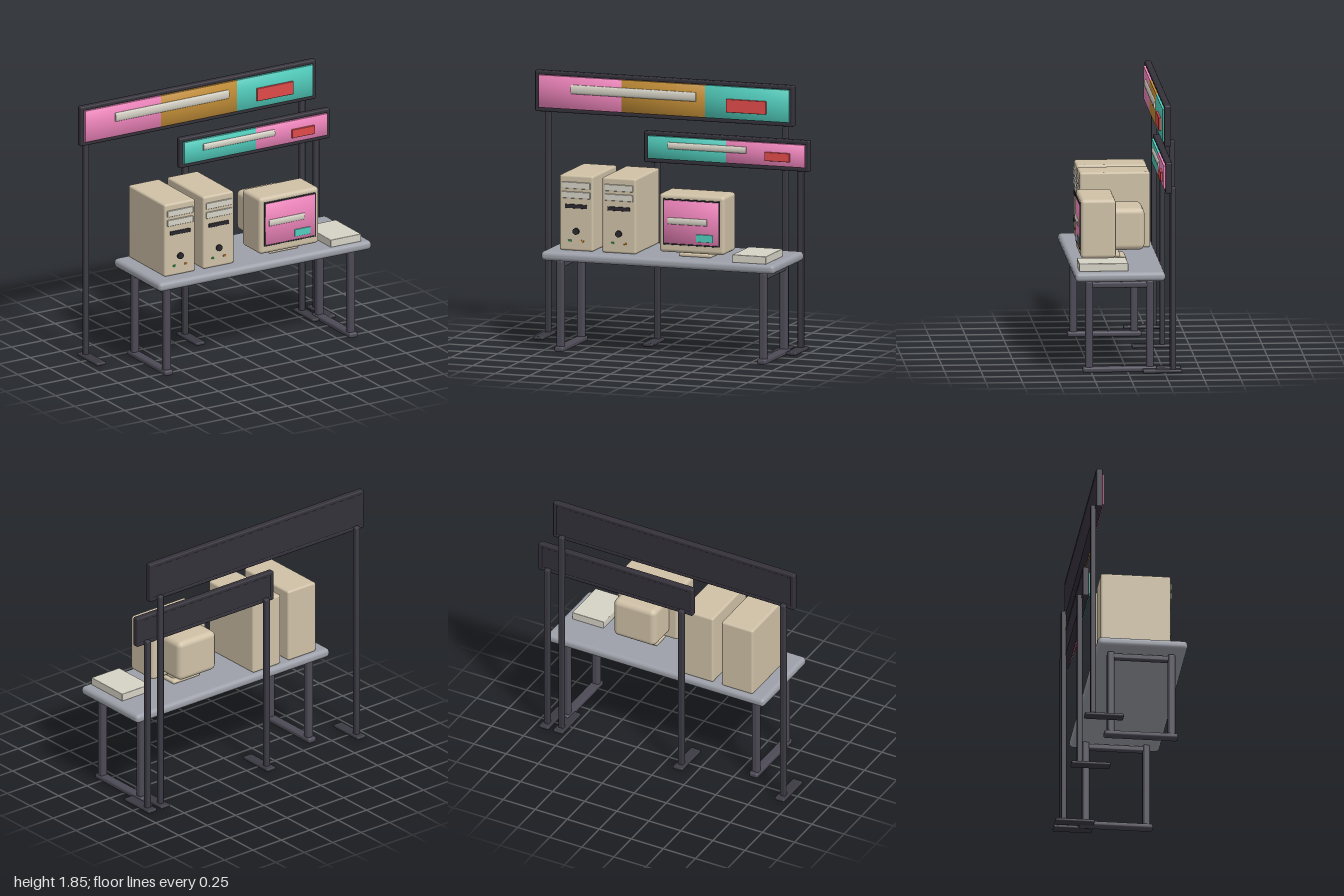
import * as THREE from 'three';
import { RoundedBoxGeometry } from 'three/addons/geometries/RoundedBoxGeometry.js';

const COLORS = {
  frame: 0x34313a, post: 0x3c3a43, leg: 0x4c4955, table: 0x9da0a9, beige: 0xcfc1a7,
  light: 0xd6d2c6, pink: 0xf086bd, amber: 0xc48f38, teal: 0x52cdbd, red: 0xe04a4a,
  dark: 0x2a282e, green: 0x3fae5a, orange: 0xd98a30,
};
const mats = {};
for (const k in COLORS) mats[k] = new THREE.MeshStandardMaterial({ color: COLORS[k] });

function add(parent, name, geo, mat, x = 0, y = 0, z = 0) {
  const m = new THREE.Mesh(geo, mats[mat]);
  m.name = name;
  m.position.set(x, y, z);
  parent.add(m);
  return m;
}

// Rounded box given by its extents on each axis
function block(parent, name, mat, [x0, x1], [y0, y1], [z0, z1], r = 0.01) {
  const w = x1 - x0, h = y1 - y0, d = z1 - z0;
  const radius = Math.min(r, 0.45 * Math.min(w, h, d));
  return add(parent, name, new RoundedBoxGeometry(w, h, d, 3, radius), mat,
    (x0 + x1) / 2, (y0 + y1) / 2, (z0 + z1) / 2);
}

// Thin panel whose front normals lean outward so it shades as gently domed
function panel(parent, name, mat, [x0, x1], [y0, y1], [z0, z1]) {
  const w = x1 - x0, h = y1 - y0;
  const geo = new THREE.BoxGeometry(w, h, z1 - z0, 8, 8, 1);
  const p = geo.attributes.position, n = geo.attributes.normal;
  const v = new THREE.Vector3();
  for (let i = 0; i < p.count; i++) {
    if (n.getZ(i) < 0.5) continue;
    v.set(p.getX(i) / w * 0.6, p.getY(i) / h * 0.9, 1).normalize();
    n.setXYZ(i, v.x, v.y, v.z);
  }
  return add(parent, name, geo, mat, (x0 + x1) / 2, (y0 + y1) / 2, (z0 + z1) / 2);
}

// Flattened horizontal rod
function rod(parent, name, [x0, x1], [y0, y1], z, depth) {
  const r = (y1 - y0) / 2;
  const geo = new THREE.CylinderGeometry(r, r, x1 - x0, 20);
  geo.rotateZ(Math.PI / 2);
  geo.scale(1, 1, depth / r);
  return add(parent, name, geo, 'light', (x0 + x1) / 2, (y0 + y1) / 2, z);
}

function group(parent, name) {
  const g = new THREE.Group();
  g.name = name;
  parent.add(g);
  return g;
}

// Framed sign board with coloured panels, a rod, a red plate and two posts
function sign(root, name, s) {
  const g = group(root, name);
  const [x0, x1] = s.x, [y0, y1] = s.y, t = 0.03;
  block(g, 'backBoard', 'frame', [x0 + 0.005, x1 - 0.005], [y0 + 0.005, y1 - 0.005], [-0.293, -0.256], 0.005);
  block(g, 'frameTop', 'frame', s.x, [y1 - t, y1], [-0.296, -0.25]);
  block(g, 'frameBottom', 'frame', s.x, [y0, y0 + t], [-0.296, -0.25]);
  block(g, 'frameRight', 'frame', [x0, x0 + t], s.y, [-0.296, -0.25]);
  block(g, 'frameLeft', 'frame', [x1 - t, x1], s.y, [-0.296, -0.25]);
  s.panels.forEach((mat, i) => panel(g, 'panel', mat,
    [s.seams[i], s.seams[i + 1]], [y0 + t, y1 - t], [-0.26, -0.239]));
  rod(g, 'rod', s.rodX, s.rodY, -0.239, 0.012);
  block(g, 'plate', 'red', s.plateX, s.plateY, [-0.245, -0.224], 0.004);
  for (const px of s.posts) {
    block(g, 'post', 'post', [px - 0.02, px + 0.02], [0.02, y0 + 0.035], [-0.327, -0.29], 0.008);
    block(g, 'postFoot', 'post', [px - 0.038, px + 0.038], [0.006, 0.03], [-0.368, -0.098], 0.01);
  }
}

// Computer tower with drives, slot, button and lights on the front
function tower(root, cx) {
  const g = group(root, 'computerTower');
  const f = 0.262;
  block(g, 'case', 'beige', [cx - 0.123, cx + 0.123], [0.708, 1.233], [-0.222, f], 0.015);
  for (const y of [1.163, 1.096])
    block(g, 'drive', 'light', [cx - 0.103, cx + 0.103], [y - 0.023, y + 0.023], [f - 0.01, f + 0.009], 0.005);
  block(g, 'slot', 'dark', [cx - 0.08, cx + 0.08], [1.004, 1.032], [f - 0.01, f + 0.006], 0.003);
  const disc = (name, mat, r, x, y, d) => {
    add(g, name, new THREE.CylinderGeometry(r, r, d, 20), mat, x, y, f + d / 2 - 0.004).rotation.x = Math.PI / 2;
  };
  disc('powerButton', 'dark', 0.023, cx, 0.845, 0.018);
  block(g, 'greenLight', 'green', [cx - 0.057, cx - 0.035], [0.772, 0.785], [f - 0.01, f + 0.007], 0.003);
  block(g, 'orangeLight', 'orange', [cx + 0.035, cx + 0.057], [0.772, 0.785], [f - 0.01, f + 0.007], 0.003);
}

function monitor(root) {
  const g = group(root, 'monitor');
  block(g, 'frontHousing', 'beige', [0.102, 0.578], [0.745, 1.153], [0.06, 0.302], 0.025);
  block(g, 'rearHousing', 'beige', [0.172, 0.502], [0.785, 1.078], [-0.143, 0.1], 0.04);
  panel(g, 'screen', 'pink', [0.143, 0.54], [0.81, 1.11], [0.29, 0.308]);
  // Thin surround around the screen
  for (const y of [0.805, 1.115]) block(g, 'screenSurround', 'dark', [0.136, 0.547], [y - 0.005, y + 0.005], [0.295, 0.307], 0.003);
  for (const x of [0.139, 0.544]) block(g, 'screenSurround', 'dark', [x - 0.005, x + 0.005], [0.8, 1.12], [0.295, 0.307], 0.003);
  rod(g, 'screenBar', [0.17, 0.455], [0.943, 0.99], 0.308, 0.009);
  block(g, 'screenLabel', 'teal', [0.375, 0.5], [0.83, 0.883], [0.3, 0.314], 0.004);
  block(g, 'standNeck', 'beige', [0.25, 0.43], [0.725, 0.755], [0.02, 0.2], 0.01);
  block(g, 'standBase', 'beige', [0.222, 0.456], [0.708, 0.734], [-0.02, 0.23], 0.011);
}

export function createModel() {
  const root = new THREE.Group();
  root.name = 'computerStall';

  // Table: top and two side frames
  const table = group(root, 'table');
  block(table, 'tableTop', 'table', [-0.737, 0.963], [0.645, 0.71], [-0.253, 0.367], 0.028);
  for (const x of [-0.625, 0.85]) {
    const side = group(table, 'legFrame');
    for (const z of [0.266, -0.152])
      block(side, 'leg', 'leg', [x - 0.027, x + 0.027], [0.02, 0.643], [z - 0.026, z + 0.026], 0.016);
    block(side, 'topRail', 'leg', [x - 0.022, x + 0.022], [0.588, 0.63], [-0.152, 0.266], 0.012);
    block(side, 'footRail', 'leg', [x - 0.034, x + 0.034], [0.004, 0.043], [-0.2, 0.31], 0.015);
  }

  // Goods on the table
  tower(root, -0.513);
  tower(root, -0.203);
  monitor(root);
  block(root, 'paperStack', 'light', [0.648, 0.893], [0.708, 0.763], [-0.002, 0.335], 0.005);

  // Signs
  sign(root, 'upperSign', {
    x: [-0.998, 0.884], y: [1.567, 1.853], seams: [-0.968, -0.363, 0.245, 0.854],
    panels: ['pink', 'amber', 'teal'], rodX: [-0.73, 0.178], rodY: [1.704, 1.768],
    plateX: [0.4, 0.69], plateY: [1.645, 1.737], posts: [-0.922, 0.806],
  });
  sign(root, 'lowerSign', {
    x: [-0.205, 0.998], y: [1.26, 1.477], seams: [-0.175, 0.398, 0.968],
    panels: ['teal', 'pink'], rodX: [-0.025, 0.545], rodY: [1.364, 1.411],
    plateX: [0.68, 0.863], plateY: [1.324, 1.385], posts: [-0.127, 0.918],
  });
  return root;
}
